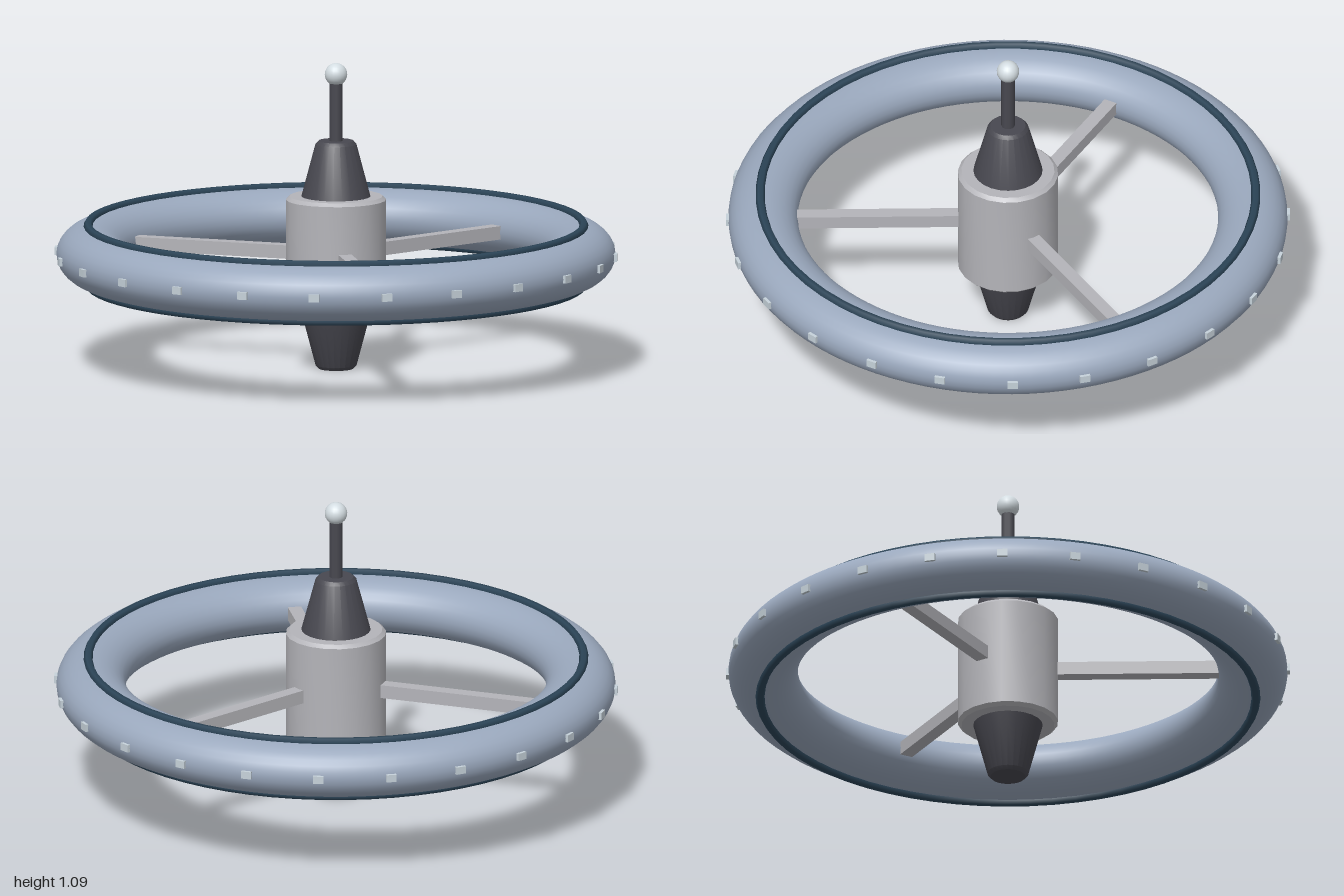
import * as THREE from 'three';
import { toCreasedNormals } from 'three/addons/utils/BufferGeometryUtils.js';

const MID = 0.41; // height of the ring plane

const paint = (color) => new THREE.MeshStandardMaterial({ color });
const hull = paint(0x9aa8bd), stripe = paint(0x2c4558), metal = paint(0xb4b4b9);
const dark = paint(0x484850), glass = paint(0xc6d2da), beacon = paint(0xd4dde2);

function add(parent, name, geometry, material, x = 0, y = 0, z = 0) {
  const mesh = new THREE.Mesh(geometry, material);
  mesh.name = name;
  mesh.position.set(x, y, z);
  parent.add(mesh);
  return mesh;
}

// Closed turned body from [radius, height] pairs, listed bottom to top
function turned(profile, sides) {
  const points = profile.map(([r, y]) => new THREE.Vector2(r, y));
  return toCreasedNormals(new THREE.LatheGeometry(points, sides), 0.5);
}

// Horizontal ring with an elliptical section
function ring(radius, tube, height, sides, steps) {
  return new THREE.TorusGeometry(radius, tube, sides, steps)
    .rotateX(Math.PI / 2)
    .scale(1, height / tube, 1);
}

export function createModel() {
  const station = new THREE.Group();
  station.name = 'spaceStation';

  // Habitat ring with a dark rail above and below
  add(station, 'habitatRing', ring(0.866, 0.123, 0.1, 28, 96), hull, 0, MID);
  for (const [name, side] of [['upperRail', 1], ['lowerRail', -1]]) {
    add(station, name, ring(0.877, 0.016, 0.016, 6, 64), stripe, 0, MID + side * 0.101);
  }

  // Windows around the outer wall
  const windows = new THREE.Group();
  windows.name = 'windows';
  station.add(windows);
  const pane = new THREE.BoxGeometry(0.03, 0.027, 0.037);
  for (let i = 0; i < 24; i++) {
    const a = (i / 24) * Math.PI * 2;
    add(windows, 'window', pane, glass, Math.cos(a) * 0.983, MID, -Math.sin(a) * 0.983).rotation.y = a;
  }

  // Three spokes from hub to ring
  for (let i = 0; i < 3; i++) {
    const a = (i / 3) * Math.PI * 2;
    const r = 0.455;
    const beam = new THREE.BoxGeometry(0.65, 0.048, 0.048);
    add(station, 'spoke', beam, metal, Math.cos(a) * r, MID, -Math.sin(a) * r).rotation.y = a;
  }

  // Hub drum with bevelled rims
  add(station, 'hub', turned([
    [0, 0.2], [0.165, 0.2], [0.178, 0.212], [0.178, 0.605], [0.165, 0.617], [0, 0.617],
  ], 20), metal);

  // Tapered docking ends
  const cone = turned([[0, 0], [0.123, 0], [0.073, 0.188], [0.062, 0.2], [0, 0.2]], 24);
  add(station, 'upperDock', cone, dark, 0, 0.615);
  add(station, 'lowerDock', cone, dark, 0, 0.2).rotation.x = Math.PI;

  // Mast and beacon
  add(station, 'mast', new THREE.CylinderGeometry(0.024, 0.024, 0.24, 10), dark, 0, 0.92);
  add(station, 'beacon', new THREE.SphereGeometry(0.04, 20, 14), beacon, 0, 1.053);

  return station;
}
